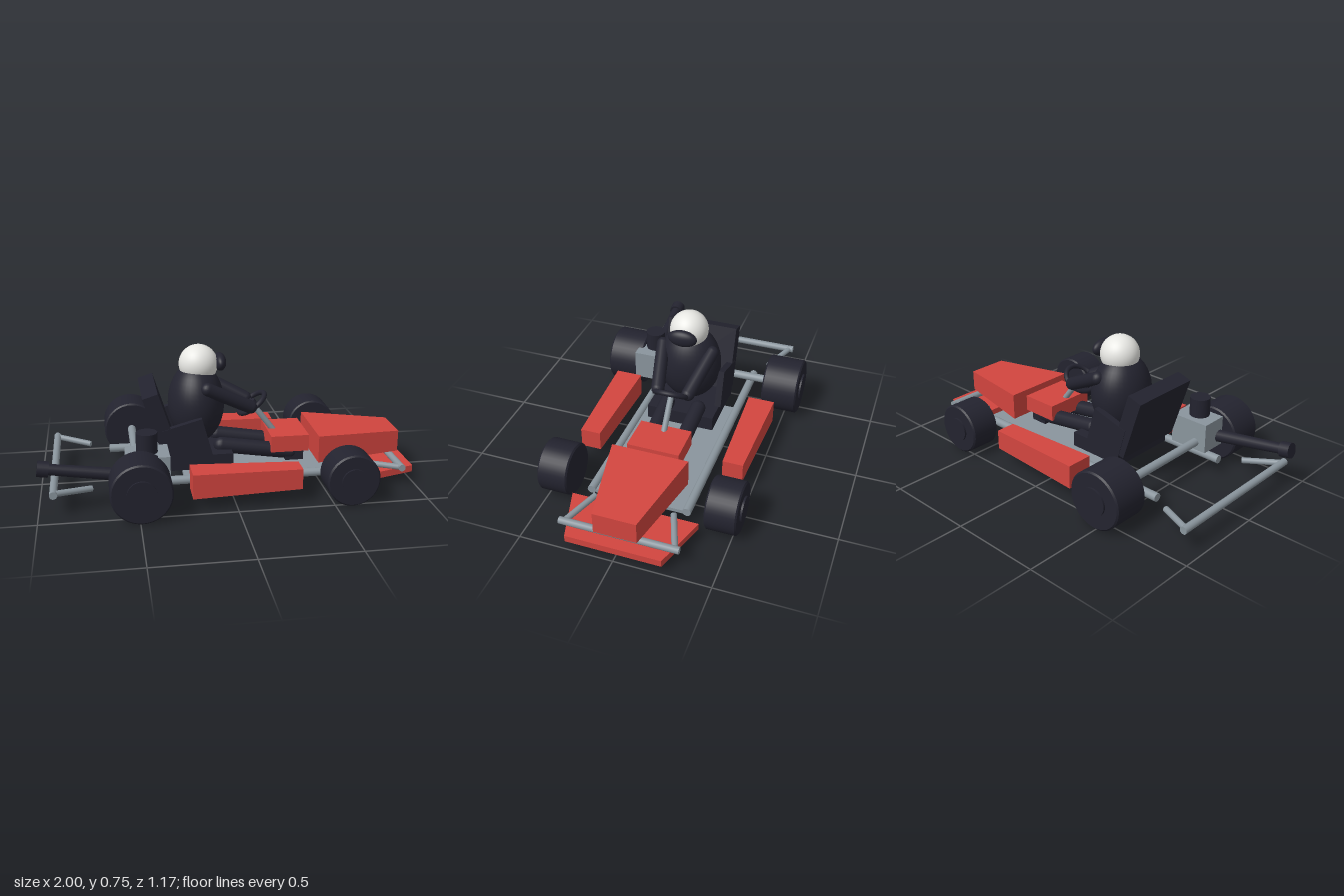
import * as THREE from 'three';

const mat = (name, color) => {
  const m = new THREE.MeshStandardMaterial({ color });
  m.name = name;
  return m;
};

export function createModel() {
  const kart = new THREE.Group();
  kart.name = 'goKart';
  const red = mat('red bodywork', 0xd2453f);
  const grey = mat('grey metal', 0x8a959d);
  const dark = mat('dark rubber and cloth', 0x23232f);
  const white = mat('white helmet', 0xe8e8e4);
  const V = (x, y, z) => new THREE.Vector3(x, y, z);

  const add = (name, geo, material, x = 0, y = 0, z = 0) => {
    const m = new THREE.Mesh(geo, material);
    m.name = name;
    m.position.set(x, y, z);
    kart.add(m);
    return m;
  };
  const box = (name, material, w, h, d, x, y, z, tilt = 0) => {
    const m = add(name, new THREE.BoxGeometry(w, h, d), material, x, y, z);
    m.rotation.z = tilt;
    return m;
  };
  // Round bar between two points
  const bar = (name, material, a, b, r, rEnd = r) => {
    const dir = b.clone().sub(a);
    const m = add(name, new THREE.CylinderGeometry(rEnd, r, dir.length(), 20), material);
    m.position.copy(a).addScaledVector(dir, 0.5);
    m.quaternion.setFromUnitVectors(V(0, 1, 0), dir.normalize());
    return m;
  };
  // Limb with rounded ends
  const limb = (name, a, b, r) => {
    const dir = b.clone().sub(a);
    const m = add(name, new THREE.CapsuleGeometry(r, dir.length(), 6, 16), dark);
    m.position.copy(a).addScaledVector(dir, 0.5);
    m.quaternion.setFromUnitVectors(V(0, 1, 0), dir.normalize());
  };
  const ellipsoid = (name, material, rx, ry, rz, x, y, z) => {
    add(name, new THREE.SphereGeometry(1, 36, 24), material, x, y, z).scale.set(rx, ry, rz);
  };
  // Box whose two x ends have their own [yMin, yMax, zMin, zMax]
  const taper = (name, material, x0, back, x1, front) => {
    const geo = new THREE.BoxGeometry(1, 1, 1);
    const p = geo.attributes.position;
    for (let i = 0; i < p.count; i++) {
      const s = p.getX(i) < 0 ? back : front;
      p.setXYZ(i, p.getX(i) < 0 ? x0 : x1, s[p.getY(i) < 0 ? 0 : 1], s[p.getZ(i) < 0 ? 2 : 3]);
    }
    geo.computeVertexNormals();
    add(name, geo, material);
  };
  // Tyre with a small bevel and a raised hub on the outside
  const wheel = (name, x, y, r, zIn, zOut, side) => {
    const h = (zOut - zIn) / 2;
    const tyre = new THREE.CylinderGeometry(r, r, h * 2 - 0.016, 40);
    const g = new THREE.Group();
    g.name = name;
    g.position.set(x, y, side * (zIn + zOut) / 2);
    g.rotation.x = side * Math.PI / 2;
    const part = (n, geo, py) => {
      const m = new THREE.Mesh(geo, dark);
      m.name = n;
      m.position.y = py;
      g.add(m);
    };
    part('tyre', tyre, 0);
    part('tyreShoulder', new THREE.CylinderGeometry(r - 0.008, r, 0.008, 40), h - 0.004);
    part('tyreInnerShoulder', new THREE.CylinderGeometry(r, r - 0.008, 0.008, 40), 0.004 - h);
    part('hub', new THREE.CylinderGeometry(r * 0.48, r * 0.48, 0.04, 32), h - 0.01);
    kart.add(g);
  };

  // Frame
  box('floorPan', grey, 0.9, 0.02, 0.47, 0.203, 0.085, 0);
  bar('rearAxle', grey, V(-0.49, 0.16, -0.4), V(-0.49, 0.16, 0.4), 0.023);
  bar('rearBumper', grey, V(-0.92, 0.12, -0.43), V(-0.92, 0.12, 0.43), 0.02);
  bar('frontBumper', grey, V(0.92, 0.103, -0.313), V(0.92, 0.103, 0.313), 0.019);

  // Bodywork
  taper('frontSpoiler', red, 0.71, [0.053, 0.09, -0.34, 0.34], 1, [0.053, 0.09, -0.25, 0.25]);
  taper('noseCone', red, 0.483, [0.12, 0.27, -0.208, 0.208], 0.96, [0.125, 0.243, -0.113, 0.113]);
  box('dashFairing', red, 0.208, 0.09, 0.285, 0.34, 0.213, 0);

  // Paired parts
  for (const s of [-1, 1]) {
    wheel('rearWheel', -0.49, 0.157, 0.156, 0.373, 0.575, s);
    wheel('frontWheel', 0.588, 0.141, 0.138, 0.365, 0.53, s);
    bar('frameRail', grey, V(-0.625, 0.09, s * 0.257), V(0.655, 0.09, s * 0.257), 0.023);
    bar('rearBumperStay', grey, V(-0.91, 0.12, s * 0.405), V(-0.73, 0.1, s * 0.32), 0.016);
    bar('frontBumperStay', grey, V(0.92, 0.1, s * 0.29), V(0.71, 0.112, s * 0.21), 0.016);
    const zs = (a, b) => (s > 0 ? [a, b] : [-b, -a]);
    taper('sidePod', red, -0.23, [0.073, 0.203, ...zs(0.328, 0.475)],
      0.338, [0.083, 0.192, ...zs(0.345, 0.455)]);
    box('seatWing', dark, 0.22, 0.21, 0.035, -0.225, 0.27, s * 0.185, 0.27);
    limb('arm', V(-0.11, 0.54, s * 0.14), V(0.13, 0.415, s * 0.085), 0.036);
    limb('leg', V(-0.03, 0.21, s * 0.09), V(0.35, 0.15, s * 0.085), 0.042);
    box('boot', dark, 0.1, 0.06, 0.07, 0.37, 0.14, s * 0.085);
  }

  // Seat
  box('seatBase', dark, 0.33, 0.08, 0.38, -0.145, 0.155, 0);
  box('seatBack', dark, 0.085, 0.36, 0.4, -0.36, 0.362, 0, 0.31);

  // Driver
  ellipsoid('torso', dark, 0.152, 0.222, 0.175, -0.155, 0.43, 0);
  ellipsoid('helmet', white, 0.105, 0.105, 0.105, -0.14, 0.645, 0);
  ellipsoid('visor', dark, 0.034, 0.047, 0.08, -0.025, 0.652, 0);

  // Steering, tilted toward the driver
  const steering = new THREE.Group();
  steering.name = 'steeringWheel';
  steering.position.set(0.152, 0.41, 0);
  steering.rotation.z = 0.64;
  const rim = new THREE.Mesh(new THREE.TorusGeometry(0.085, 0.014, 12, 40), dark);
  rim.name = 'rim';
  rim.rotation.x = Math.PI / 2;
  steering.add(rim);
  const cross = new THREE.Mesh(new THREE.BoxGeometry(0.02, 0.012, 0.165), dark);
  cross.name = 'spoke';
  const boss = new THREE.Mesh(new THREE.CylinderGeometry(0.026, 0.026, 0.024, 20), dark);
  boss.name = 'boss';
  steering.add(cross, boss);
  kart.add(steering);
  bar('steeringColumn', grey, V(0.155, 0.405, 0), V(0.285, 0.235, 0), 0.016);

  // Engine and exhaust
  box('engineBlock', grey, 0.222, 0.165, 0.183, -0.445, 0.198, 0.312);
  add('airFilter', new THREE.CylinderGeometry(0.055, 0.055, 0.11, 28), dark, -0.445, 0.33, 0.312);
  bar('exhaustPipe', dark, V(-0.54, 0.172, 0.345), V(-0.96, 0.237, 0.36), 0.034, 0.028);
  bar('exhaustTip', dark, V(-0.938, 0.233, 0.359), V(-0.994, 0.242, 0.361), 0.041);

  return kart;
}
